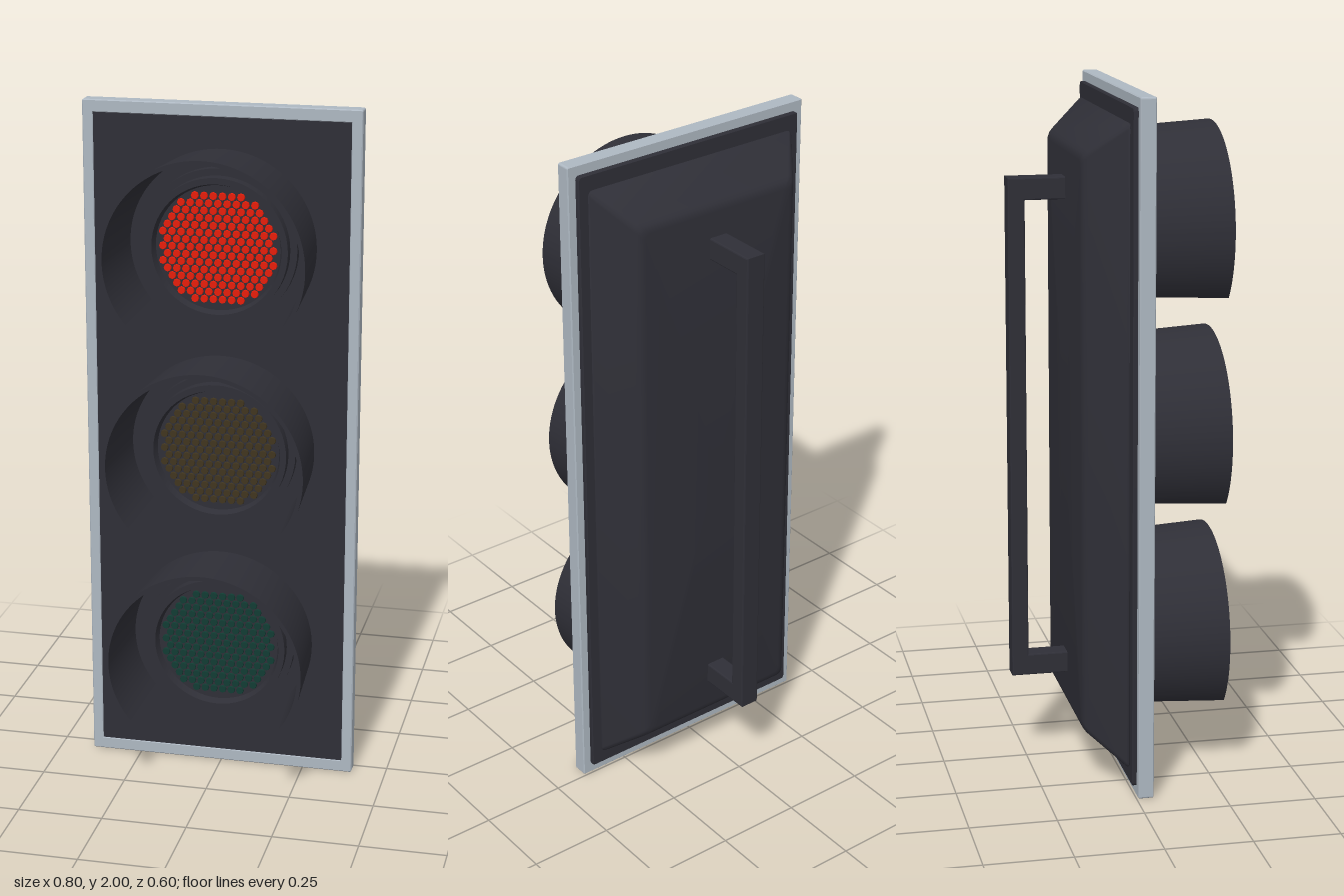
import * as THREE from 'three';
import { mergeGeometries, toCreasedNormals } from 'three/addons/utils/BufferGeometryUtils.js';

const material = (name, color) => {
  const m = new THREE.MeshStandardMaterial({ color });
  m.name = name;
  return m;
};

// Rounded rectangle centred on the origin
function roundedRect(hw, hh, r, steps = 4) {
  const pts = [];
  [[1, 1], [-1, 1], [-1, -1], [1, -1]].forEach(([sx, sy], q) => {
    for (let i = 0; i <= steps; i++) {
      const a = (q + i / steps) * Math.PI / 2;
      pts.push(new THREE.Vector2(sx * (hw - r) + r * Math.cos(a), sy * (hh - r) + r * Math.sin(a)));
    }
  });
  return pts;
}

// Skin through rounded-rectangle sections running from front to back, closed at the back
function shellGeometry(sections) {
  const pos = [], idx = [];
  const n = roundedRect(1, 1, 0.1).length;
  sections.forEach(([hw, hh, z, r]) => roundedRect(hw, hh, r).forEach(p => pos.push(p.x, p.y, z)));
  for (let s = 0; s < sections.length - 1; s++) {
    for (let i = 0; i < n; i++) {
      const a = s * n + i, b = s * n + (i + 1) % n;
      idx.push(a, a + n, b, b, a + n, b + n);
    }
  }
  const centre = pos.length / 3, last = (sections.length - 1) * n;
  pos.push(0, 0, sections[sections.length - 1][2]);
  for (let i = 0; i < n; i++) idx.push(centre, last + (i + 1) % n, last + i);
  const g = new THREE.BufferGeometry();
  g.setAttribute('position', new THREE.Float32BufferAttribute(pos, 3));
  g.setIndex(idx);
  return toCreasedNormals(g, 0.6);
}

// Open-bottomed hood, flaring toward its front rim
function visorGeometry() {
  const a0 = -40 * Math.PI / 180, a1 = Math.PI - a0;
  const shape = new THREE.Shape();
  shape.absarc(0, 0, 0.275, a0, a1, false);
  shape.absarc(0, 0, 0.264, a1, a0, true);
  const depth = 0.252;
  const g = new THREE.ExtrudeGeometry(shape, { depth, bevelEnabled: false, curveSegments: 56 });
  const p = g.attributes.position;
  for (let i = 0; i < p.count; i++) {
    const k = 1 + 0.057 * p.getZ(i) / depth;
    p.setXY(i, p.getX(i) * k, p.getY(i) * k);
  }
  g.translate(0, 0, 0.048);
  return toCreasedNormals(g, 0.5);
}

// Stepped round bezel with a recessed lens bed
function bezelGeometry() {
  const profile = [[0.225, 0.04], [0.225, 0.075], [0.205, 0.075], [0.205, 0.11], [0.187, 0.11], [0.18, 0.085], [0, 0.085]];
  const g = new THREE.LatheGeometry(profile.map(([r, h]) => new THREE.Vector2(r, h)), 56);
  g.rotateX(Math.PI / 2);
  return toCreasedNormals(g, 0.4);
}

// Staggered grid of small lamps clipped to a circle
function lampGeometry() {
  const dx = 0.0265, dy = 0.0212, dots = [];
  for (let row = -7; row <= 7; row++) {
    for (let col = -8; col <= 8; col++) {
      const x = (col + (row % 2 ? 0.5 : 0)) * dx, y = row * dy;
      if (Math.hypot(x, y) > 0.166) continue;
      const dot = new THREE.CylinderGeometry(0.0105, 0.0117, 0.006, 8);
      dot.rotateX(Math.PI / 2);
      dot.translate(x, y, 0.088);
      dots.push(dot);
    }
  }
  return mergeGeometries(dots);
}

export function createModel() {
  const model = new THREE.Group();
  model.name = 'trafficSignal';
  const dark = material('dark housing', 0x2f2f37);
  const grey = material('grey frame', 0xaeb8c2);
  const lampColours = [
    ['red lamp', 'redLamp', 0xe81e0a],
    ['dim amber lamp', 'amberLamp', 0x40351f],
    ['dim green lamp', 'greenLamp', 0x113c33],
  ];
  const add = (parent, name, geometry, mat, y = 0) => {
    const mesh = new THREE.Mesh(geometry, mat);
    mesh.name = name;
    mesh.position.y = y;
    parent.add(mesh);
    return mesh;
  };

  // Frame with the front panel set into it
  const outline = new THREE.Shape(roundedRect(0.397, 0.997, 0.003));
  outline.holes.push(new THREE.Path(roundedRect(0.371, 0.966, 0.002).reverse()));
  const frame = new THREE.ExtrudeGeometry(outline, {
    depth: 0.039, bevelEnabled: true, bevelSize: 0.003, bevelThickness: 0.003, bevelSegments: 1,
  });
  frame.translate(0, 0, 0.008);
  add(model, 'frame', frame, grey, 1);
  const panel = new THREE.BoxGeometry(0.742, 1.932, 0.042);
  panel.translate(0, 0, 0.027);
  add(model, 'frontPanel', panel, dark, 1);

  // Back gasket and tapered rear shell
  add(model, 'gasket', shellGeometry([
    [0.375, 0.97, 0.006, 0.01], [0.375, 0.97, -0.005, 0.01], [0.372, 0.967, -0.008, 0.01],
  ]), dark, 1);
  add(model, 'rearShell', shellGeometry([
    [0.343, 0.922, -0.007, 0.015], [0.347, 0.925, -0.012, 0.015], [0.345, 0.922, -0.018, 0.015],
    [0.274, 0.845, -0.114, 0.02], [0.265, 0.836, -0.123, 0.02], [0.256, 0.827, -0.128, 0.02],
    [0.246, 0.815, -0.13, 0.02],
  ]), dark, 1);

  // Carrying handle on the back
  const corners = [[-0.12, -0.735], [-0.12, -0.679], [-0.25, -0.679], [-0.25, 0.679],
    [-0.12, 0.679], [-0.12, 0.735], [-0.291, 0.735], [-0.291, -0.735]];
  const grip = new THREE.ExtrudeGeometry(new THREE.Shape(corners.map(([z, y]) => new THREE.Vector2(z, y))), {
    depth: 0.052, bevelEnabled: true, bevelSize: 0.004, bevelThickness: 0.004, bevelSegments: 2,
  });
  grip.translate(0, 0, -0.026);
  grip.rotateY(-Math.PI / 2);
  add(model, 'handle', grip, dark, 1.003);

  // Three signal heads, top to bottom
  const visor = visorGeometry(), bezel = bezelGeometry(), lamps = lampGeometry();
  lampColours.forEach(([matName, partName, hex], i) => {
    const head = new THREE.Group();
    head.name = partName;
    head.position.y = 1.6 - 0.6 * i;
    add(head, 'visor', visor, dark);
    add(head, 'bezel', bezel, dark);
    add(head, 'lampGrid', lamps, material(matName, hex));
    model.add(head);
  });
  return model;
}
